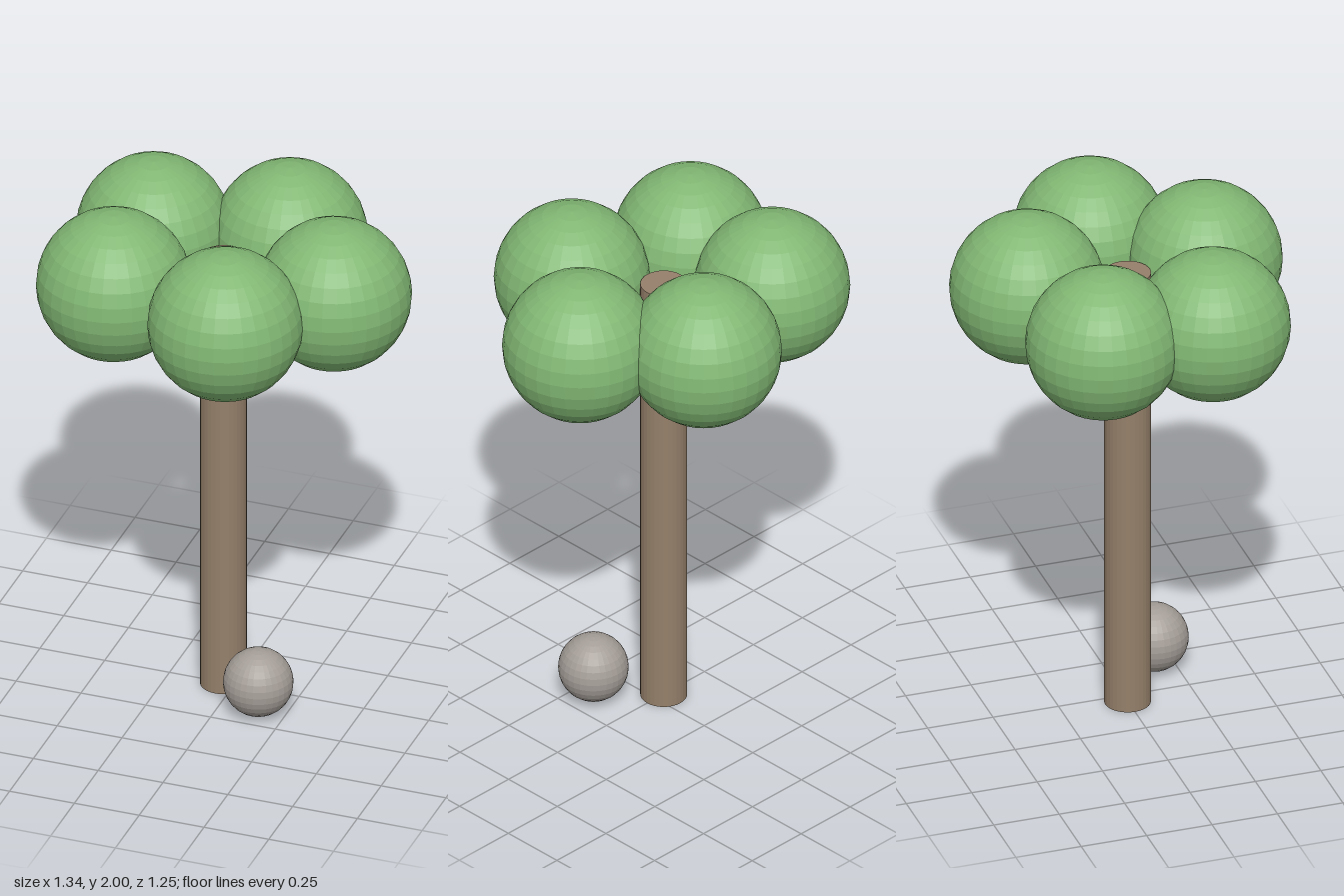
import * as THREE from 'three';

export function createModel() {
  const model = new THREE.Group();
  const material = (name, color) => {
    const m = new THREE.MeshStandardMaterial({ color, flatShading: true });
    m.name = name;
    return m;
  };
  const bark = material('bark brown', 0x95806a);
  const leaf = material('leaf green', 0x82b874);
  const stone = material('stone grey', 0xa59e98);

  const add = (name, geometry, mat, x, y, z) => {
    const mesh = new THREE.Mesh(geometry, mat);
    mesh.name = name;
    mesh.position.set(x, y, z);
    model.add(mesh);
  };

  // Straight trunk, ending inside the ring of foliage
  const trunkX = -0.042, trunkHeight = 1.785;
  add('trunk', new THREE.CylinderGeometry(0.085, 0.085, trunkHeight, 32), bark,
    trunkX, trunkHeight / 2, 0);

  // Five foliage balls on an oval around the trunk
  const ball = new THREE.SphereGeometry(0.283, 32, 16);
  for (let i = 0; i < 5; i++) {
    const a = (i / 5) * Math.PI * 2;
    add('foliageBall' + (i + 1), ball, leaf,
      trunkX + 0.427 * Math.cos(a), 1.717, 0.357 * Math.sin(a));
  }

  // Round stone beside the foot of the trunk
  add('stone', new THREE.SphereGeometry(0.128, 32, 16), stone, 0.153, 0.133, 0.165);

  return model;
}
